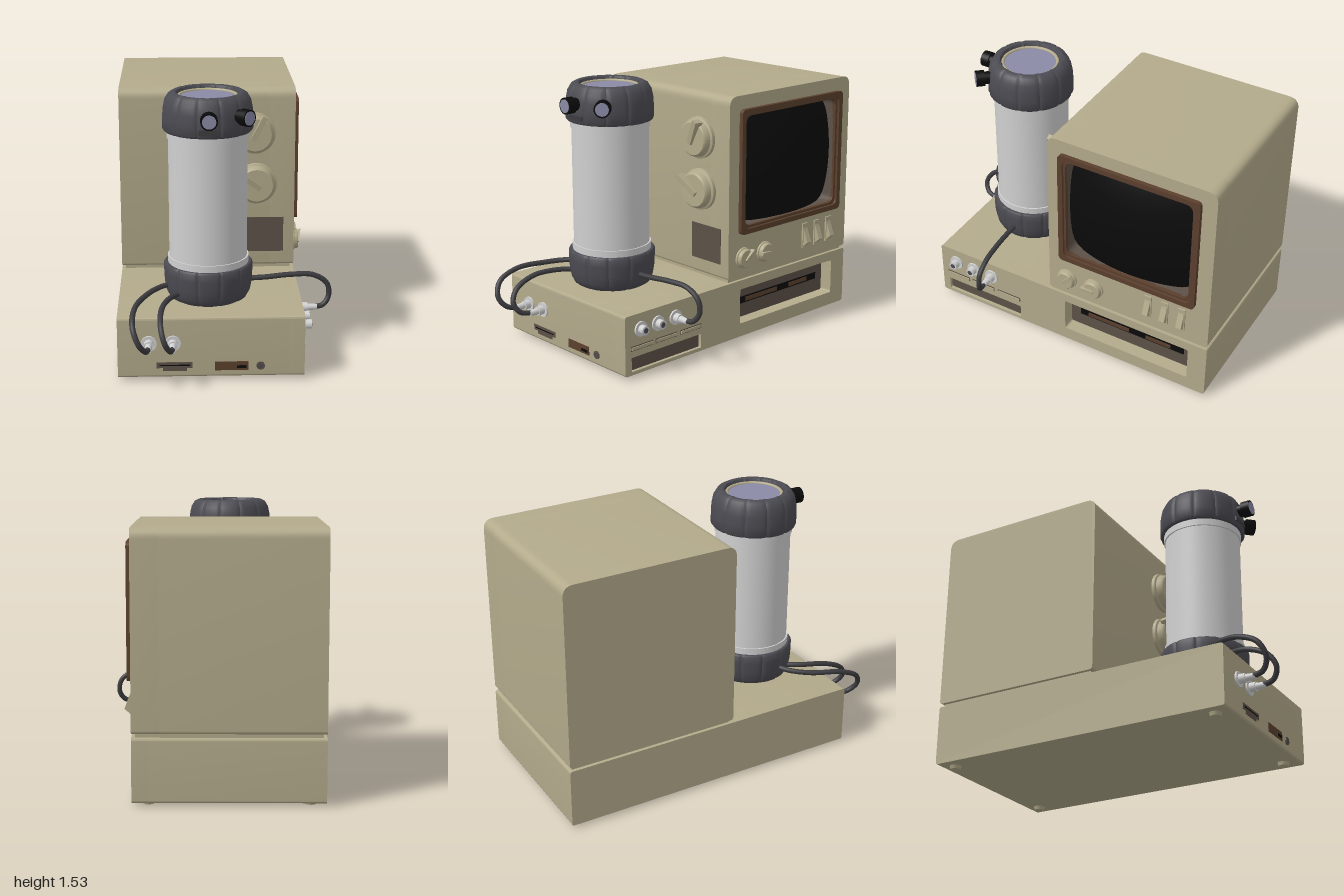
import * as THREE from 'three';
import { toCreasedNormals } from 'three/addons/utils/BufferGeometryUtils.js';

const mat = (name, color, side = THREE.FrontSide) =>
  Object.assign(new THREE.MeshStandardMaterial({ color, side }), { name });

export function createModel() {
  const M = {
    beige: mat('beige plastic', 0xb3aa8b),
    taupe: mat('taupe panel', 0x5c5148),
    brown: mat('brown trim', 0x5b402d),
    black: mat('black glass', 0x0b0b0b),
    rubber: mat('dark rubber', 0x4b4b52),
    cable: mat('cable grey', 0x3c3c40),
    pale: mat('pale metal', 0xd0d0d0),
    lens: mat('lavender glass', 0x8a8aa6),
  };
  const root = new THREE.Group();
  root.name = 'computerWithCanister';

  const add = (name, geo, m, x = 0, y = 0, z = 0, parent = root) => {
    const mesh = new THREE.Mesh(geo, m);
    mesh.name = name;
    mesh.position.set(x, y, z);
    parent.add(mesh);
    return mesh;
  };
  // box given by its limits
  const box = (name, m, x0, x1, y0, y1, z0, z1) =>
    add(name, new THREE.BoxGeometry(x1 - x0, y1 - y0, z1 - z0), m, (x0 + x1) / 2, (y0 + y1) / 2, (z0 + z1) / 2);

  // rounded rectangle in (-z, y), with separate top and bottom radii
  const rect = (z0, z1, y0, y1, rt = 0.01, rb = rt, C = THREE.Shape) => {
    const a = -z1, b = -z0, s = new C();
    s.moveTo(a + rb, y0);
    s.lineTo(b - rb, y0);
    s.quadraticCurveTo(b, y0, b, y0 + rb);
    s.lineTo(b, y1 - rt);
    s.quadraticCurveTo(b, y1, b - rt, y1);
    s.lineTo(a + rt, y1);
    s.quadraticCurveTo(a, y1, a, y1 - rt);
    s.lineTo(a, y0 + rb);
    s.quadraticCurveTo(a, y0, a + rb, y0);
    return s;
  };
  // side profile extruded from x0 to x1
  const slab = (name, m, shape, x0, x1, holes = []) => {
    shape.holes.push(...holes);
    const g = new THREE.ExtrudeGeometry(shape, { depth: x1 - x0, bevelEnabled: false, curveSegments: 8 });
    g.rotateY(Math.PI / 2);
    return add(name, toCreasedNormals(g, 0.6), m, x0, 0, 0);
  };
  const hole = (z0, z1, y0, y1, r) => rect(z0, z1, y0, y1, r, r, THREE.Path);
  const cyl = (r0, r1, h, n = 32) => new THREE.CylinderGeometry(r1, r0, h, n);

  // base unit with recessed drive bay and vent
  const baseShape = () => rect(-1, 0.8, 0.02, 0.365, 0.015);
  slab('baseBody', M.beige, baseShape(), -0.6, 0.33);
  slab('baseSidePanel', M.beige, baseShape(), 0.33, 0.415,
    [hole(-0.885, -0.08, 0.1, 0.31, 0.012), hole(0.235, 0.755, 0.04, 0.122, 0.005)]);
  box('driveBack', M.taupe, 0.325, 0.336, 0.1, 0.31, -0.885, -0.08);
  box('driveSlot', M.black, 0.333, 0.341, 0.185, 0.225, -0.825, -0.145);
  box('driveDiskLong', M.brown, 0.337, 0.345, 0.193, 0.217, -0.47, -0.2);
  box('driveDiskShort', M.brown, 0.337, 0.345, 0.193, 0.217, -0.74, -0.58);
  box('sideVent', M.taupe, 0.325, 0.395, 0.04, 0.122, 0.235, 0.755);
  for (const z of [0.24, 0.425, 0.605]) {
    box('sideStripShadow', M.taupe, 0.41, 0.418, 0.16, 0.187, z - 0.004, z + 0.156);
    box('sideStrip', M.beige, 0.412, 0.423, 0.165, 0.182, z, z + 0.152);
  }
  for (const x of [-0.52, 0.33]) for (const z of [0.71, -0.92])
    add('foot', cyl(0.028, 0.035, 0.024, 24), M.beige, x, 0.012, z);

  // front slots and jack
  box('cardSlotTop', M.taupe, -0.39, -0.195, 0.075, 0.108, 0.796, 0.804);
  box('cardSlotLip', M.taupe, -0.355, -0.225, 0.057, 0.078, 0.796, 0.804);
  box('cardSlotGap', M.black, -0.375, -0.21, 0.088, 0.094, 0.8, 0.806);
  box('diskSlot', M.brown, -0.072, 0.108, 0.058, 0.108, 0.796, 0.804);
  box('diskSlotGap', M.black, 0.045, 0.098, 0.07, 0.086, 0.8, 0.806);
  add('jackRim', cyl(0.023, 0.023, 0.01, 20).rotateX(Math.PI / 2), M.taupe, 0.175, 0.082, 0.801);
  add('jack', cyl(0.014, 0.014, 0.01, 20).rotateX(Math.PI / 2), M.rubber, 0.175, 0.082, 0.803);

  // monitor case
  const caseShape = () => rect(-1, 0.02, 0.385, 1.45, 0.06, 0.02);
  box('plinth', M.beige, -0.58, 0.395, 0.355, 0.395, -0.98, 0);
  slab('monitorBody', M.beige, caseShape(), -0.6, 0.27);
  slab('monitorFace', M.beige, caseShape(), 0.27, 0.415, [hole(-0.895, -0.075, 0.665, 1.355, 0.04)]);
  slab('screenFrame', M.brown, rect(-0.915, -0.058, 0.645, 1.372, 0.03), 0.4, 0.44,
    [hole(-0.885, -0.088, 0.675, 1.342, 0.04)]);
  slab('screenSurround', M.brown, rect(-0.895, -0.075, 0.665, 1.355, 0.03), 0.4, 0.425,
    [hole(-0.87, -0.1, 0.69, 1.33, 0.05)]);
  slab('screenWell', M.taupe, rect(-0.895, -0.075, 0.665, 1.355, 0.04), 0.275, 0.41,
    [hole(-0.87, -0.1, 0.69, 1.33, 0.05)]);
  box('screenWellFloor', M.taupe, 0.265, 0.277, 0.67, 1.35, -0.89, -0.08);

  // bulging picture tube
  const tube = new THREE.RingGeometry(0.0001, 1, 72, 16);
  const tp = tube.attributes.position;
  for (let i = 0; i < tp.count; i++) {
    const x = tp.getX(i), y = tp.getY(i), a = Math.atan2(y, x);
    const k = (Math.abs(Math.cos(a)) ** 9 + Math.abs(Math.sin(a)) ** 9) ** (-1 / 9);
    const u = x * k * 0.382, v = y * k * 0.318;
    tp.setXYZ(i, u, v, -(u * u + v * v) / 1.94);
  }
  tube.computeVertexNormals();
  add('screen', tube.rotateY(Math.PI / 2), M.black, 0.458, 1.01, -0.485);

  // dial with a raised wedge pointer, axis along its own z
  const dial = (name, x, y, z, s, angle, turn = 0) => {
    const g = new THREE.Group();
    g.name = name;
    g.position.set(x, y, z);
    g.rotation.y = turn;
    g.scale.setScalar(s);
    root.add(g);
    const prof = [[0, 0], [0.12, 0], [0.12, 0.022], [0.108, 0.028], [0.102, 0.06], [0.094, 0.068], [0, 0.068]]
      .map(p => new THREE.Vector2(...p));
    add('dialBody', toCreasedNormals(new THREE.LatheGeometry(prof, 48).rotateX(Math.PI / 2), 0.6), M.beige, 0, 0, 0, g);
    const wedge = new THREE.Shape([[-0.03, 0.05], [0.122, 0.05], [0.126, 0.108], [-0.03, 0.085]]
      .map(p => new THREE.Vector2(...p)));
    const wg = new THREE.ExtrudeGeometry(wedge, { depth: 0.032, bevelEnabled: false });
    wg.translate(0, 0, -0.016).rotateX(Math.PI / 2);
    add('dialPointer', wg, M.beige, 0, 0, 0, g).rotation.z = angle;
  };
  dial('upperDial', 0.18, 1.19, 0.018, 1, 1.1);
  dial('lowerDial', 0.19, 0.89, 0.018, 1, 2.5);
  dial('sideDialA', 0.414, 0.5, -0.1, 0.52, 0.8, Math.PI / 2);
  dial('sideDialB', 0.414, 0.5, -0.275, 0.52, 3.05, Math.PI / 2);
  box('frontGrille', M.taupe, 0.12, 0.352, 0.47, 0.68, 0.016, 0.024);

  // slider switches under the screen
  for (const z of [-0.625, -0.73, -0.835]) {
    box('sliderPlate', M.beige, 0.41, 0.425, 0.45, 0.602, z - 0.022, z + 0.022);
    const tab = new THREE.Shape([[0, 0.455], [0.04, 0.49], [0.012, 0.56], [0, 0.597]].map(p => new THREE.Vector2(...p)));
    const tg = new THREE.ExtrudeGeometry(tab, { depth: 0.034, bevelEnabled: false });
    add('sliderTab', tg, M.beige, 0.418, 0, z - 0.017);
  }

  // canister: tube, bands and ribbed rubber caps
  const can = new THREE.Group();
  can.name = 'canister';
  can.position.set(-0.1, 0, 0.45);
  root.add(can);
  add('canisterTube', cyl(0.216, 0.216, 0.78, 64), M.pale, 0, 0.945, 0, can);
  for (const y of [0.59, 1.3]) add('canisterBand', cyl(0.224, 0.224, 0.04, 64), M.pale, 0, y, 0, can);
  const cap = (name, pts) => {
    const geo = new THREE.LatheGeometry(pts.map(p => new THREE.Vector2(...p)), 144);
    const p = geo.attributes.position, step = Math.PI / 6;
    for (let i = 0; i < p.count; i++) {
      const a = Math.atan2(p.getX(i), p.getZ(i)) / step;
      const d = Math.abs(a - Math.floor(a) - 0.5);
      const k = d < 0.03 ? 0.972 : 1 - 0.012 * Math.max(0, 1 - d / 0.18);
      p.setX(i, p.getX(i) * k);
      p.setZ(i, p.getZ(i) * k);
    }
    add(name, toCreasedNormals(geo, 0.7), M.rubber, 0, 0, 0, can);
  };
  cap('bottomCap', [[0, 0.365], [0.195, 0.365], [0.218, 0.378], [0.234, 0.41], [0.243, 0.46], [0.246, 0.52],
    [0.246, 0.562], [0.238, 0.572], [0.2, 0.572]]);
  cap('topCap', [[0.2, 1.32], [0.238, 1.32], [0.246, 1.33], [0.246, 1.39], [0.243, 1.44], [0.234, 1.485],
    [0.215, 1.517], [0.19, 1.53], [0.172, 1.526], [0.162, 1.505], [0.162, 1.47]]);
  add('topRing', new THREE.TorusGeometry(0.157, 0.01, 10, 64).rotateX(Math.PI / 2), M.beige, 0, 1.503, 0, can);
  add('topLens', cyl(0.154, 0.154, 0.04, 64), M.lens, 0, 1.483, 0, can);
  box('mouthPlate', M.cable, -0.155, -0.045, 1.342, 1.368, 0.689, 0.698);

  // two lens barrels, one facing front and one turned aside
  for (const turn of [0, 0.74]) {
    const eye = new THREE.Group();
    eye.name = 'eye';
    eye.position.y = 1.43;
    eye.rotation.y = turn;
    can.add(eye);
    add('eyeMount', cyl(0.036, 0.036, 0.08).rotateX(Math.PI / 2), M.black, 0, 0, 0.25, eye);
    add('eyeBarrel', cyl(0.046, 0.046, 0.05).rotateX(Math.PI / 2), M.black, 0, 0, 0.292, eye);
    add('eyeLens', cyl(0.037, 0.037, 0.008).rotateX(Math.PI / 2), M.lens, 0, 0, 0.316, eye);
  }

  // sockets and plugs, axis along their own z
  const socket = (x, y, z, turn, plugged) => {
    const g = new THREE.Group();
    g.name = plugged ? 'plug' : 'socket';
    g.position.set(x, y, z);
    g.rotation.y = turn;
    root.add(g);
    const part = (n, r0, r1, z0, z1, m = M.pale, k = 24) =>
      add(n, cyl(r0, r1, z1 - z0, k).rotateX(Math.PI / 2), m, 0, 0, (z0 + z1) / 2, g);
    part('socketFlange', 0.043, 0.043, -0.005, 0.01);
    part('socketCollar', 0.026, 0.026, 0, 0.045);
    if (plugged) part('plugSleeve', 0.02, 0.016, 0.04, 0.1);
    else part('socketHole', 0.015, 0.015, 0.04, 0.047, M.rubber);
  };
  for (const x of [-0.43, -0.3]) socket(x, 0.22, 0.8, 0, true);
  for (const z of [0.69, 0.565, 0.435]) socket(0.415, 0.275, z, Math.PI / 2, z < 0.5);

  // cables from the canister to the plugs
  const cables = {
    leftCable: [[-0.43, 0.22, 0.88], [-0.445, 0.235, 0.95], [-0.48, 0.29, 0.985], [-0.51, 0.37, 0.95],
      [-0.505, 0.425, 0.83], [-0.45, 0.438, 0.66], [-0.37, 0.448, 0.55], [-0.28, 0.455, 0.5]],
    middleCable: [[-0.3, 0.22, 0.88], [-0.315, 0.235, 0.95], [-0.342, 0.29, 0.98], [-0.362, 0.36, 0.94],
      [-0.36, 0.415, 0.82], [-0.325, 0.427, 0.69], [-0.27, 0.425, 0.6], [-0.22, 0.425, 0.55]],
    rightCable: [[0.5, 0.275, 0.435], [0.55, 0.285, 0.425], [0.583, 0.335, 0.41], [0.57, 0.41, 0.41],
      [0.49, 0.462, 0.415], [0.36, 0.47, 0.43], [0.22, 0.462, 0.445], [0.1, 0.458, 0.45]],
  };
  for (const [name, pts] of Object.entries(cables)) {
    const curve = new THREE.CatmullRomCurve3(pts.map(p => new THREE.Vector3(...p)));
    add(name, new THREE.TubeGeometry(curve, 64, 0.015, 10), M.cable);
  }
  return root;
}
